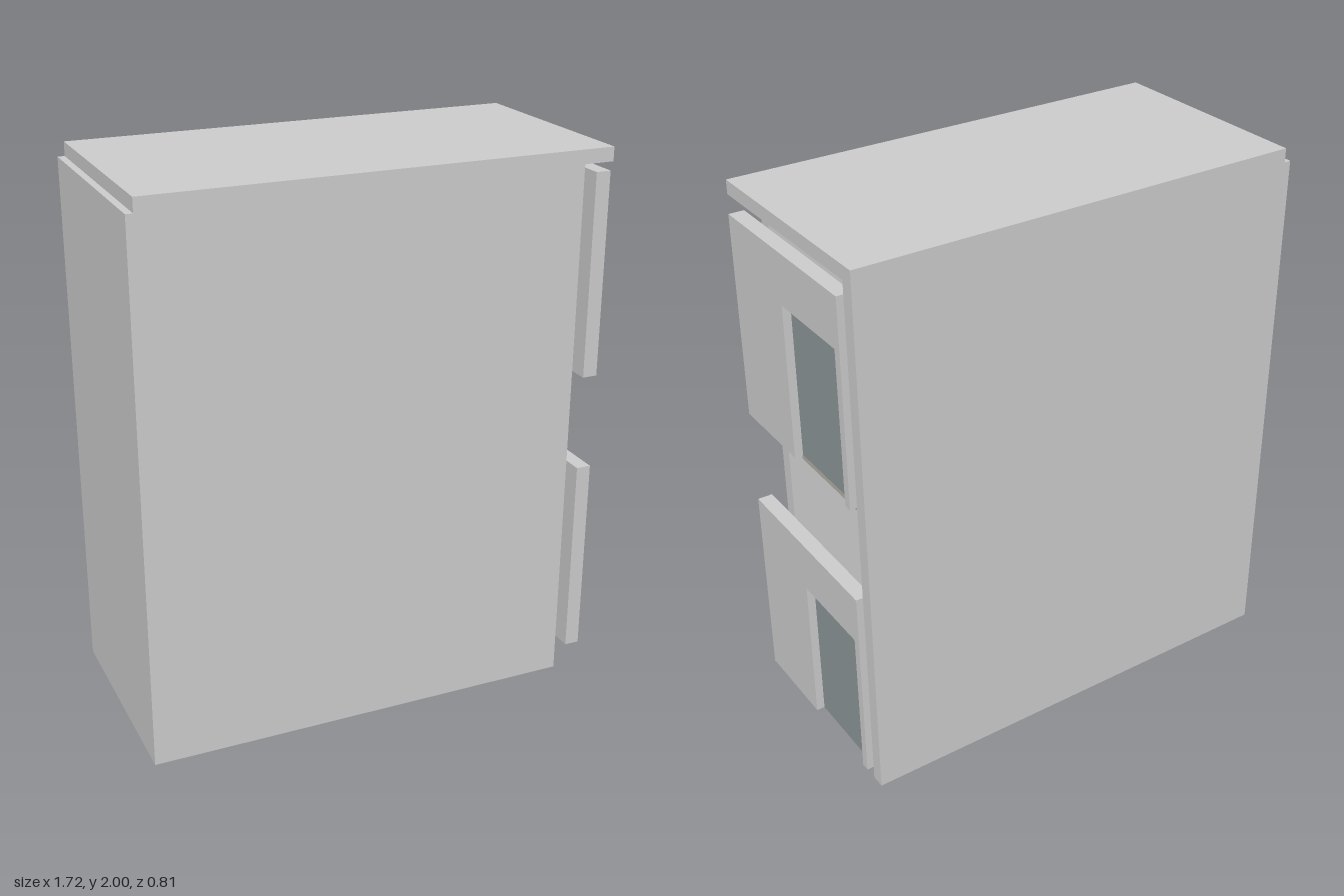
import * as THREE from 'three';

const wallMat = new THREE.MeshStandardMaterial({ color: 0xcccccc });
const floorMat = new THREE.MeshStandardMaterial({ color: 0xb0ada4 });
const glassMat = new THREE.MeshStandardMaterial({ color: 0x8c9698 });
const railMat = new THREE.MeshStandardMaterial({ color: 0x151515 });

// Box given by its min and max corners
function box(name, mat, [x0, y0, z0], [x1, y1, z1]) {
  const mesh = new THREE.Mesh(new THREE.BoxGeometry(x1 - x0, y1 - y0, z1 - z0), mat);
  mesh.position.set((x0 + x1) / 2, (y0 + y1) / 2, (z0 + z1) / 2);
  mesh.name = name;
  return mesh;
}

function extrude(name, mat, points, depth) {
  const shape = new THREE.Shape(points.map(([x, y]) => new THREE.Vector2(x, y)));
  const mesh = new THREE.Mesh(new THREE.ExtrudeGeometry(shape, { depth, bevelEnabled: false }), mat);
  mesh.name = name;
  return mesh;
}

const STEPS = 10, RUN = 0.085, RISE = 0.0548, LANDING_X = -0.39, LANDING_Y = 0.607;

// Floor slab whose outer edge steps out behind the window
function floorSlab(name, y) {
  const slab = extrude(name, floorMat, [
    [0.46, -0.355], [0.72, -0.355], [0.72, -0.075], [0.8, -0.075], [0.8, 0.355], [0.46, 0.355],
  ], 0.05);
  slab.rotation.x = -Math.PI / 2;
  slab.position.y = y;
  return slab;
}

// Balcony front with a notch for the window, open at its foot
function facade(name, y) {
  const group = new THREE.Group();
  group.name = name;
  const panel = extrude('facadePanel', wallMat, [
    [-0.355, 0], [-0.015, 0], [-0.015, 0.56], [0.325, 0.56],
    [0.325, 0], [0.355, 0], [0.355, 0.745], [-0.355, 0.745],
  ], 0.055);
  panel.rotation.y = Math.PI / 2;
  panel.position.set(0.8, y, 0);
  group.add(panel,
    box('windowGlass', glassMat, [0.81, y, -0.315], [0.825, y + 0.56, 0.015]),
    box('windowJamb', wallMat, [0.805, y, -0.325], [0.835, y + 0.56, -0.315]));
  return group;
}

// One flight: dir = -1 climbs towards -x, +1 climbs towards +x
function flight(name, dir, startX, startY, z0) {
  const group = new THREE.Group();
  group.name = name;
  const pts = [[startX, startY]];
  for (let i = 0; i < STEPS; i++) {
    const x = startX + dir * RUN * i, y = startY + RISE * (i + 1);
    pts.push([x, y], [x + dir * RUN, y]);
  }
  const endX = startX + dir * RUN * STEPS, endY = startY + RISE * STEPS;
  pts.push([endX, endY - 0.055]);
  if (dir < 0) pts.push([startX - 0.1, 0.002], [startX, 0.01]);
  else pts.push([startX, startY - 0.055]);
  const steps = extrude('steps', floorMat, pts, 0.32);
  steps.position.z = z0;
  group.add(steps);

  // Sloping handrail on each side
  for (const z of [z0 + 0.012, z0 + 0.308]) {
    const length = Math.hypot(endX - startX, endY - startY);
    const rail = new THREE.Mesh(new THREE.BoxGeometry(length, 0.025, 0.012), railMat);
    rail.name = 'handrail';
    rail.position.set((startX + endX) / 2, (startY + endY) / 2 + 0.25, z);
    rail.rotation.z = Math.atan2(endY - startY, endX - startX);
    group.add(rail);
  }
  return group;
}

export function createModel() {
  const model = new THREE.Group();
  model.name = 'stairBlock';

  // Shell, open underneath and at the balcony end
  model.add(
    box('frontWall', wallMat, [-0.86, 0.01, 0.355], [0.72, 1.95, 0.405]),
    box('rearWall', wallMat, [-0.86, 0.01, -0.405], [0.83, 1.95, -0.355]),
    box('endWall', wallMat, [-0.86, 0.01, -0.355], [-0.81, 1.95, 0.355]),
    box('roof', wallMat, [-0.835, 1.95, -0.405], [0.83, 2, 0.405]),
  );

  // Floors and facades of both storeys
  model.add(
    floorSlab('groundFloor', 0.01), floorSlab('upperFloor', 1.105),
    facade('lowerFacade', 0.06), facade('upperFacade', 1.16),
  );

  // Stair with a half landing
  model.add(
    flight('lowerFlight', -1, 0.46, 0.06, -0.355),
    flight('upperFlight', 1, LANDING_X, LANDING_Y, 0.035),
    box('landing', floorMat, [-0.81, LANDING_Y - 0.05, -0.355], [LANDING_X, LANDING_Y, 0.355]),
  );
  return model;
}
